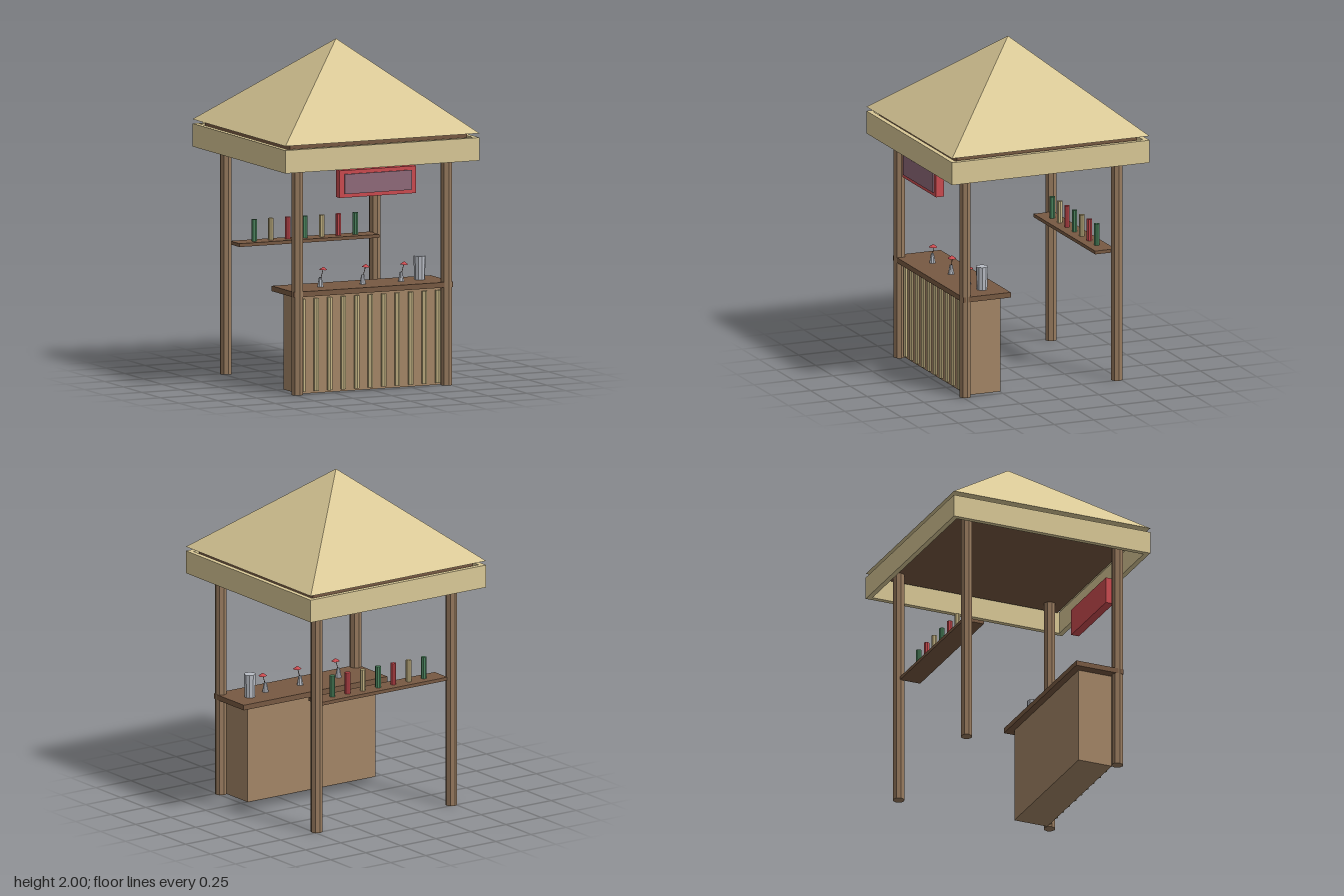
import * as THREE from 'three';

const mat = (name, color) => {
  const m = new THREE.MeshStandardMaterial({ color });
  m.name = name;
  m.flatShading = true;
  return m;
};

export function createModel() {
  const root = new THREE.Group();
  root.name = 'beachBar';

  const thatch = mat('thatch', 0xd9c896);
  const bamboo = mat('bamboo', 0xc6b585);
  const post = mat('postWood', 0x977a5e);
  const panel = mat('panelWood', 0xa38566);
  const dark = mat('darkWood', 0x775942);
  const red = mat('red', 0xcb4b50);
  const green = mat('green', 0x4f8a62);
  const metal = mat('metal', 0xb9bdc5);
  const mauve = mat('signMauve', 0x8f6a7a);
  const straw = mat('strawBrown', 0x5a4238);

  const add = (name, geo, material, x, y, z, parent = root) => {
    const m = new THREE.Mesh(geo, material);
    m.name = name;
    m.position.set(x, y, z);
    parent.add(m);
    return m;
  };
  // Box given by its lower and upper corners
  const box = (name, material, [x0, y0, z0], [x1, y1, z1]) =>
    add(name, new THREE.BoxGeometry(x1 - x0, y1 - y0, z1 - z0), material,
      (x0 + x1) / 2, (y0 + y1) / 2, (z0 + z1) / 2);
  // Upright cylinder standing on height y
  const cyl = (name, material, rTop, rBottom, h, sides, x, y, z, parent) =>
    add(name, new THREE.CylinderGeometry(rTop, rBottom, h, sides), material, x, y + h / 2, z, parent);

  // Corner posts
  for (const x of [-0.48, 0.48])
    for (const z of [-0.48, 0.48]) cyl('post', post, 0.035, 0.035, 1.45, 8, x, 0, z);

  // Roof: pyramid, ceiling board and fringe
  const pyramid = new THREE.ConeGeometry(0.625 * Math.SQRT2, 0.515, 4);
  pyramid.rotateY(Math.PI / 4);
  add('roof', pyramid, thatch, 0, 1.485 + 0.2575, 0);
  box('ceiling', dark, [-0.57, 1.44, -0.57], [0.57, 1.485, 0.57]);
  for (const s of [-1, 1]) {
    add('fringe', new THREE.BoxGeometry(1.25, 0.135, 0.03), thatch, 0, 1.3925, s * 0.61);
    add('fringe', new THREE.BoxGeometry(0.03, 0.135, 1.19), thatch, s * 0.61, 1.3925, 0);
  }

  // Counter with bamboo slats
  box('counterBody', panel, [-0.455, 0, 0.245], [0.455, 0.575, 0.455]);
  box('counterTop', dark, [-0.512, 0.575, 0.205], [0.512, 0.606, 0.505]);
  for (let i = -5; i <= 5; i++) cyl('slat', bamboo, 0.016, 0.016, 0.545, 6, i * 0.087, 0.012, 0.458);

  // Back shelf and bottles
  box('shelf', dark, [-0.45, 0.758, -0.485], [0.45, 0.778, -0.357]);
  const bottleColours = [green, bamboo, red];
  for (let i = 0; i < 7; i++)
    cyl('bottle', bottleColours[i % 3], 0.017, 0.017, 0.128, 8, (i - 3) * 0.1087, 0.778, -0.421);

  // Hanging sign
  box('signBoard', red, [-0.245, 1.15, 0.513], [0.245, 1.31, 0.562]);
  box('signPanel', mauve, [-0.216, 1.172, 0.562], [0.216, 1.288, 0.571]);

  // Drinks with straw and paper umbrella
  for (const x of [-0.273, 0, 0.247]) {
    const drink = new THREE.Group();
    drink.name = 'drink';
    drink.position.set(x, 0.606, 0.36);
    root.add(drink);
    cyl('glass', metal, 0.009, 0.019, 0.055, 8, 0, 0, 0, drink);
    const stick = cyl('umbrellaStick', straw, 0.002, 0.002, 0.07, 5, 0.01, 0.04, 0, drink);
    stick.rotation.z = -0.28;
    const shade = add('umbrella', new THREE.ConeGeometry(0.025, 0.018, 8), red, 0.018, 0.108, 0.003, drink);
    shade.rotation.z = -0.05;
  }

  // Shaker
  cyl('shaker', metal, 0.036, 0.031, 0.138, 10, 0.38, 0.606, 0.33);

  return root;
}
